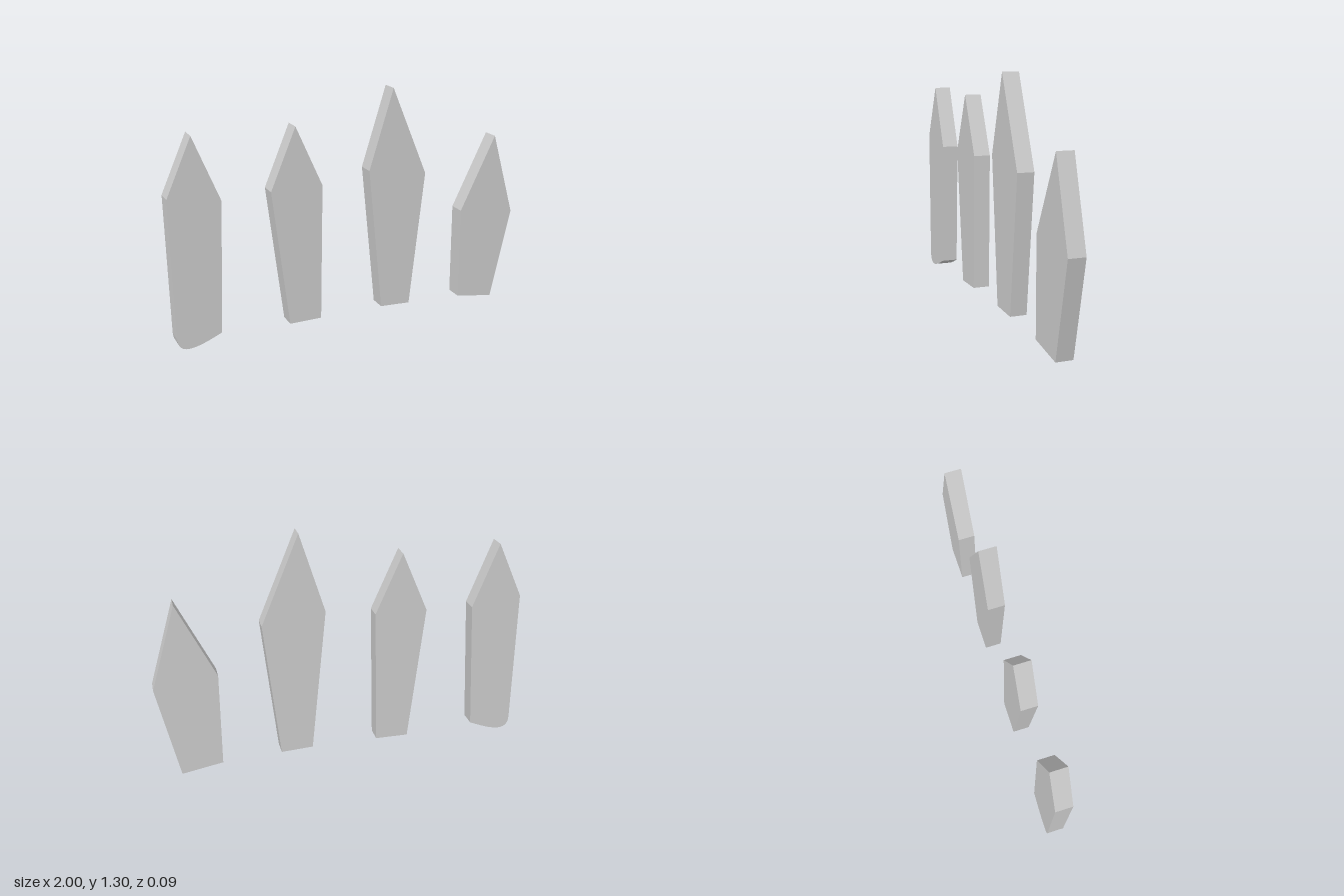
import * as THREE from 'three';

const DEPTH = 0.092;

// Outlines run clockwise from the pointed tip: tip, right shoulder, right foot, left foot, left shoulder.
const SLABS = [
  { name: 'roundedFootSlab', roundFoot: true,
    points: [[-0.864, 1.16], [-0.725, 0.813], [-0.757, 0.1], [-0.992, 0.11], [-1, 0.856]] },
  { name: 'narrowSlab',
    points: [[-0.326, 1.15], [-0.182, 0.823], [-0.198, 0.072], [-0.377, 0.072], [-0.465, 0.823]] },
  { name: 'tallSlab',
    points: [[0.225, 1.298], [0.426, 0.813], [0.34, 0.059], [0.166, 0.069], [0.088, 0.866]] },
  { name: 'shortSlab',
    points: [[0.866, 0.973], [1, 0.513], [0.885, 0], [0.663, 0.04], [0.663, 0.561]] },
];

function makeSlab({ name, points, roundFoot }, material) {
  const [tip, rightShoulder, rightFoot, leftFoot, leftShoulder] = points;
  const shape = new THREE.Shape();
  shape.moveTo(...tip);
  shape.lineTo(...rightShoulder);
  shape.lineTo(...rightFoot);
  // The foot is either a straight cut or a lopsided curve
  if (roundFoot) shape.bezierCurveTo(-0.87, 0.05, -0.99, 0, ...leftFoot);
  else shape.lineTo(...leftFoot);
  shape.lineTo(...leftShoulder);
  shape.closePath();

  const geometry = new THREE.ExtrudeGeometry(shape, {
    depth: DEPTH, bevelEnabled: false, curveSegments: 16,
  });
  geometry.translate(0, 0, -DEPTH / 2);
  const mesh = new THREE.Mesh(geometry, material);
  mesh.name = name;
  return mesh;
}

export function createModel() {
  const group = new THREE.Group();
  group.name = 'pointedSlabs';
  const material = new THREE.MeshStandardMaterial({ color: 0xcccccc });
  for (const slab of SLABS) group.add(makeSlab(slab, material));
  return group;
}
